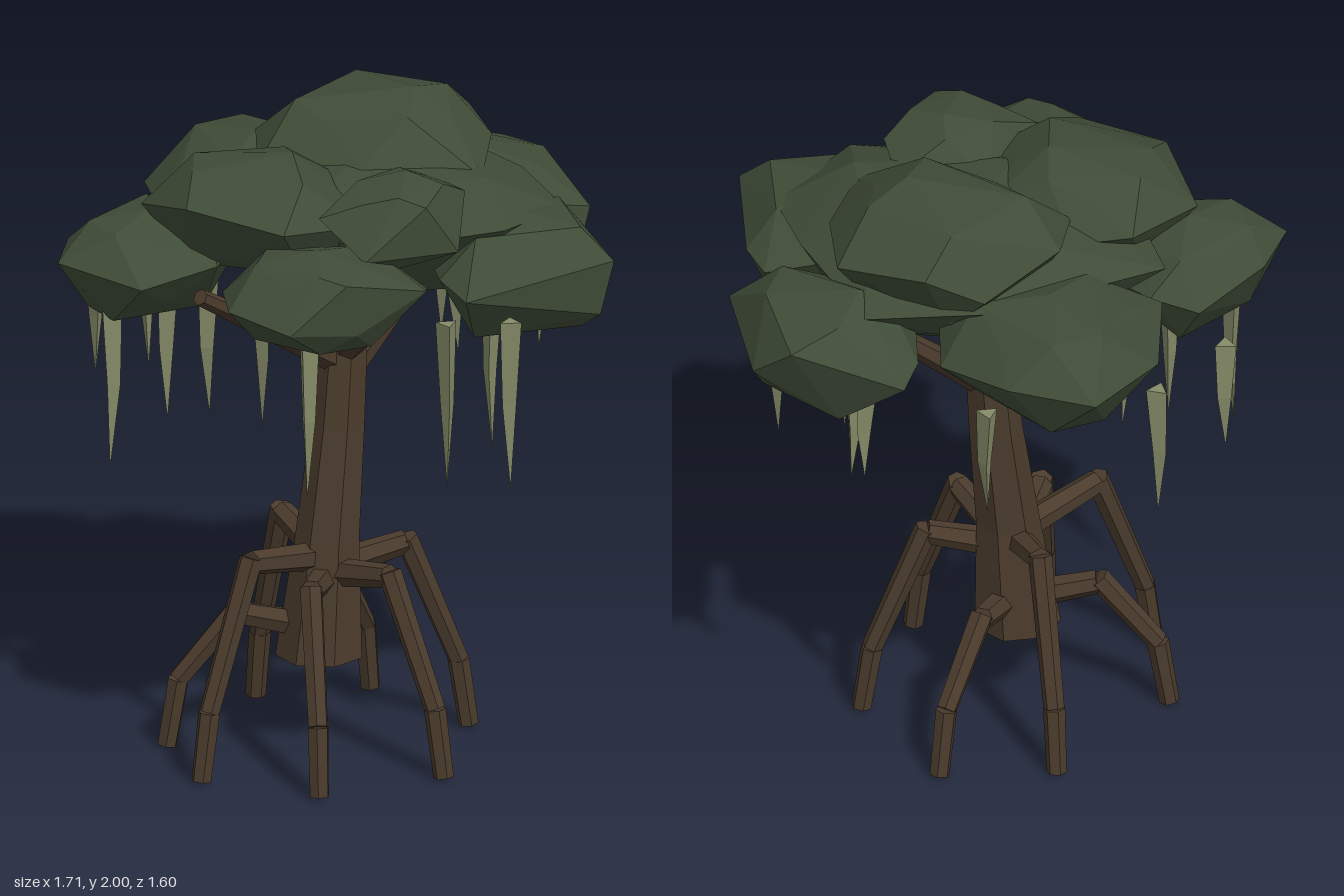
import * as THREE from 'three';
import { ConvexGeometry } from 'three/addons/geometries/ConvexGeometry.js';

const mat = (color) => new THREE.MeshStandardMaterial({ color, flatShading: true, roughness: 1 });
const bark = mat(0x4a3b2c), leaf = mat(0x3f4c37), moss = mat(0x868b68);
const V = (x, y, z) => new THREE.Vector3(x, y, z);

function mesh(name, geometry, material) {
  const m = new THREE.Mesh(geometry, material);
  m.name = name;
  return m;
}

// tapered stick from a to b
function stick(name, a, b, ra, rb) {
  const m = mesh(name, new THREE.CylinderGeometry(rb, ra, a.distanceTo(b), 6), bark);
  m.position.copy(a).lerp(b, 0.5);
  m.quaternion.setFromUnitVectors(V(0, 1, 0), b.clone().sub(a).normalize());
  return m;
}

// leaning trunk: rings of [x, y, z, radius] from bottom to top
const rings = [
  [-0.04, 0.28, 0.115, 0.135], [-0.01, 0.65, 0.105, 0.1], [0.03, 1.0, 0.085, 0.084],
  [0.05, 1.25, 0.075, 0.076], [0.06, 1.52, 0.05, 0.055],
];
function trunk() {
  const g = new THREE.CylinderGeometry(1, 1, rings.length - 1, 7, rings.length - 1);
  const p = g.attributes.position;
  for (let i = 0; i < p.count; i++) {
    const [x, y, z, r] = rings[Math.round(p.getY(i) + (rings.length - 1) / 2)];
    p.setXYZ(i, x + p.getX(i) * r, y, z + p.getZ(i) * r);
  }
  g.computeVertexNormals();
  return mesh('trunk', g, bark);
}

// arched stilt root: out to the knee, down the shin, then a short foot
function root([kx, ky, kz, fx, fz]) {
  const g = new THREE.Group();
  g.name = 'stiltRoot';
  const knee = V(kx, ky, kz), foot = V(fx, 0.005, fz);
  const start = V(-0.025, ky - 0.06, 0.11);
  const ankle = knee.clone().lerp(foot, 0.84).setY(0.215);
  g.add(
    stick('rootArch', start, knee, 0.046, 0.037),
    stick('rootShin', knee.clone().setY(ky + 0.015), ankle, 0.037, 0.032),
    stick('rootFoot', ankle, foot, 0.034, 0.031),
  );
  return g;
}

// faceted leaf clump: a plan outline of x, z corners (y where it leaves the waist),
// closed by smaller rings above and below and a peak at px, pz
function clump(bottom, waist, top, [px, pz], outline) {
  const n = outline.length, points = [V(px, top, pz)];
  const cx = outline.reduce((s, p) => s + p[0], 0) / n;
  const cz = outline.reduce((s, p) => s + p[1], 0) / n;
  outline.forEach(([x, z, y], i) => {
    const [nx, nz] = outline[(i + 1) % n];
    const dx = (x + nx) / 2 - cx, dz = (z + nz) / 2 - cz;
    const sway = i % 2 ? 1 : -1;
    points.push(V(x, y ?? waist + 0.015 * sway, z));
    points.push(V(cx + dx * 0.68, top - (top - waist) * (0.33 + 0.12 * sway), cz + dz * 0.68));
    points.push(V(cx + dx * 0.7, bottom + (waist - bottom) * (0.18 + 0.18 * sway), cz + dz * 0.7));
  });
  return mesh('leafClump', new ConvexGeometry(points), leaf);
}

// hanging strand tapering to a point
function strand([x, top, tip, z], i) {
  const g = new THREE.ConeGeometry(0.037, top - tip, 3, 2);
  g.rotateX(Math.PI);
  const p = g.attributes.position;
  for (let k = 0; k < p.count; k++) {
    // slight bulge and bend at mid height
    if (Math.abs(p.getY(k)) < 0.01) p.setXYZ(k, p.getX(k) * 1.3 + 0.008, 0, p.getZ(k) * 1.3);
  }
  g.rotateY(i * 0.9);
  g.computeVertexNormals();
  const m = mesh('hangingStrand', g, moss);
  m.position.set(x, (top + tip) / 2, z);
  return m;
}

export function createModel() {
  const model = new THREE.Group();
  model.name = 'mangroveTree';
  model.add(trunk());

  // knee x, y, z and foot x, z
  [
    [-0.31, 0.65, 0.26, -0.5, 0.35], [-0.28, 0.42, 0.06, -0.49, 0.01],
    [-0.16, 0.58, 0.38, -0.21, 0.6], [0.09, 0.6, 0.38, 0.2, 0.56],
    [0.23, 0.61, 0.13, 0.43, 0.13], [0.1, 0.43, -0.1, 0.26, -0.28],
    [-0.07, 0.65, -0.14, -0.09, -0.325],
  ].forEach((r) => model.add(root(r)));

  // boughs reaching into the leaves
  [
    [0.03, 1.2, 0.08, -0.5, 1.55, 0.34],
    [0.05, 1.15, 0.08, 0.45, 1.52, -0.07],
    [0.05, 1.24, 0.1, 0.055, 1.51, 0.52],
  ].forEach(([a, b, c, d, e, f]) =>
    model.add(stick('bough', V(a, b, c), V(d, e, f), 0.045, 0.026)));

  // leaf clumps: crown, upper left, small front, then the lower ring and the core
  model.add(
    clump(1.65, 1.82, 2.0, [0.32, -0.04], [[0.15, -0.44, 1.78], [0.33, -0.43, 1.87],
      [0.57, -0.26, 1.84], [0.55, 0], [0.42, 0.28], [0.07, 0.18], [-0.18, -0.05], [-0.11, -0.27]]),
    clump(1.6, 1.77, 1.92, [-0.15, 0.18], [[-0.58, 0.03], [-0.35, -0.16], [-0.17, -0.12],
      [0.05, 0.1], [0, 0.45], [-0.3, 0.53], [-0.53, 0.3, 1.82]]),
    clump(1.66, 1.79, 1.91, [0.13, 0.42], [[0.02, 0.24], [0.3, 0.26], [0.31, 0.44, 1.83],
      [0.23, 0.61, 1.7], [0.12, 0.63, 1.86], [-0.08, 0.64, 1.71], [-0.17, 0.48, 1.81]]),
    clump(1.47, 1.61, 1.74, [-0.2, 0.56], [[-0.46, 0.43], [-0.5, 0.6, 1.59], [-0.37, 0.79, 1.56],
      [-0.19, 0.79, 1.7], [-0.15, 0.77, 1.53], [0.08, 0.75, 1.64], [0.13, 0.6], [0, 0.3], [-0.3, 0.28]]),
    clump(1.43, 1.6, 1.73, [-0.55, 0.02], [[-0.86, 0.07, 1.61], [-0.76, -0.12], [-0.53, -0.3],
      [-0.39, -0.24], [-0.25, 0], [-0.42, 0.27], [-0.68, 0.32]]),
    clump(1.44, 1.61, 1.78, [-0.05, -0.42], [[-0.13, -0.8, 1.61], [0.12, -0.69], [0.29, -0.48],
      [0.25, -0.2], [-0.1, -0.1], [-0.42, -0.28], [-0.36, -0.57]]),
    clump(1.39, 1.57, 1.75, [0.5, -0.25], [[0.41, -0.53], [0.74, -0.44, 1.66], [0.84, -0.34, 1.55],
      [0.85, 0.04, 1.58], [0.82, 0.05, 1.48], [0.65, 0.07, 1.62], [0.3, -0.05], [0.35, -0.43]]),
    clump(1.4, 1.58, 1.75, [0.46, 0.4], [[0.72, 0.17], [0.76, 0.26], [0.72, 0.63, 1.62],
      [0.68, 0.62, 1.45], [0.23, 0.68, 1.56], [0.19, 0.55], [0.25, 0.28], [0.5, 0.15]]),
    clump(1.48, 1.72, 1.85, [0.1, 0.05], [[-0.44, -0.22], [0.14, -0.43], [0.5, -0.35],
      [0.63, 0.05], [0.66, 0.35], [0.39, 0.57], [0, 0.52], [-0.38, 0.2]]),
  );

  // strands: x, top and tip height, z
  [
    [-0.7, 1.48, 0.94, 0.09], [-0.61, 1.47, 1.1, -0.3], [-0.485, 1.5, 1.04, 0],
    [-0.37, 1.46, 1.02, -0.5], [-0.34, 1.47, 1.03, -0.03], [-0.26, 1.48, 0.97, 0.63],
    [-0.2, 1.45, 1.0, 0.05], [0.16, 1.47, 1.11, -0.56], [0.19, 1.48, 0.95, 0.62],
    [0.34, 1.52, 0.98, 0.77], [0.46, 1.44, 0.92, 0.26], [0.52, 1.42, 1.06, -0.22],
    [0.71, 1.47, 1.12, -0.03], [0.49, 1.42, 1.1, -0.29],
  ].forEach((s, i) => model.add(strand(s, i)));

  return model;
}
